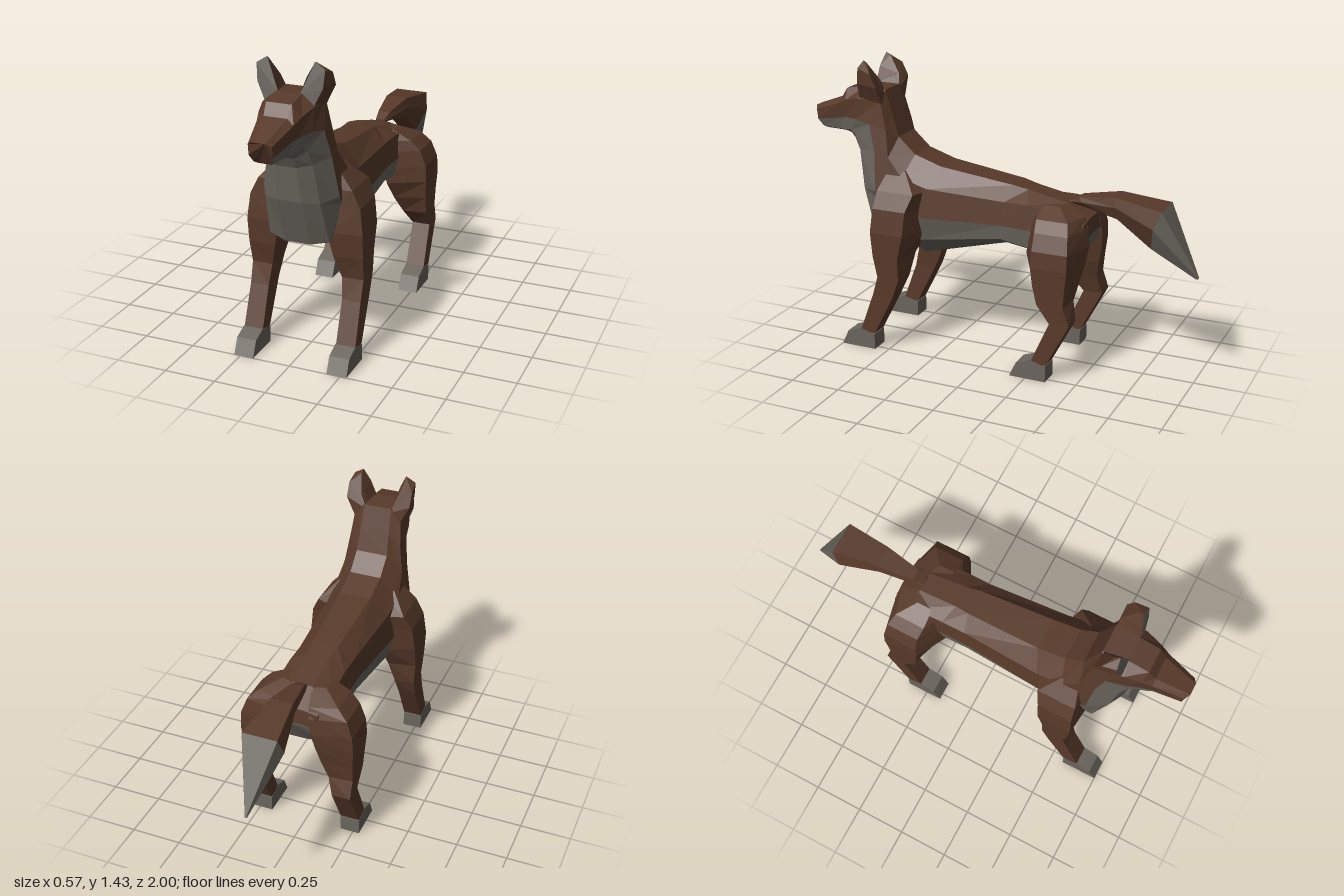
import * as THREE from 'three';

const brown = new THREE.MeshStandardMaterial({ color: 0x583a2a });
brown.name = 'brown fur';
const grey = new THREE.MeshStandardMaterial({ color: 0x6a655d });
grey.name = 'grey fur';
const BROWN = 0, GREY = 1;

// Faceted skin over a list of closed rings; colourOf(ring, edge) picks each face's colour.
function loft(name, rings, colourOf, startCap = BROWN, endCap = BROWN) {
  const faces = [[], []];
  const n = rings[0].length;
  const tri = (c, a, b, d) => faces[c].push([a, b, d]);
  for (let i = 0; i < rings.length - 1; i++) {
    for (let j = 0; j < n; j++) {
      const k = (j + 1) % n, c = colourOf(i, j);
      tri(c, rings[i][j], rings[i][k], rings[i + 1][k]);
      tri(c, rings[i][j], rings[i + 1][k], rings[i + 1][j]);
    }
  }
  const last = rings[rings.length - 1];
  for (let j = 1; j < n - 1; j++) {
    tri(startCap, rings[0][0], rings[0][j + 1], rings[0][j]);
    tri(endCap, last[0], last[j], last[j + 1]);
  }
  // turn the faces outward when the enclosed volume comes out negative
  const v = (p) => new THREE.Vector3(...p);
  let volume = 0;
  faces.flat().forEach(([a, b, c]) => { volume += v(a).dot(v(b).cross(v(c))); });
  const geometry = new THREE.BufferGeometry();
  const pos = [];
  faces.forEach((list, colour) => {
    const start = pos.length / 3;
    list.forEach(([a, b, c]) => pos.push(...a, ...(volume < 0 ? [...c, ...b] : [...b, ...c])));
    geometry.addGroup(start, pos.length / 3 - start, colour);
  });
  geometry.setAttribute('position', new THREE.Float32BufferAttribute(pos, 3));
  geometry.computeVertexNormals();
  const mesh = new THREE.Mesh(geometry, [brown, grey]);
  mesh.name = name;
  return mesh;
}

// Full ring from its left half
const mirrorRing = (half) => [...half, ...half.map(([x, y, z]) => [-x, y, z]).reverse()];

// Rump to nose; each half ring runs ridge, upper side, middle, lower side, underside
function body() {
  const rump = [
    [[.05, .69, -.488], [.1, .68, -.488], [.12, .65, -.478], [.1, .6, -.45], [.05, .56, -.42]],
    [[.05, .765, -.478], [.12, .75, -.475], [.15, .66, -.45], [.12, .6, -.42], [.06, .56, -.4]],
    [[.05, .828, -.37], [.14, .795, -.37], [.16, .68, -.36], [.14, .6, -.36], [.07, .56, -.34]],
    [[.055, .87, -.17], [.14, .82, -.2], [.155, .7, -.2], [.14, .61, -.2], [.06, .57, -.2]],
    [[.065, .885, -.1], [.14, .82, -.08], [.155, .705, -.06], [.145, .635, -.06], [.06, .59, -.06]],
  ];
  const chest = [
    [[.08, .935, .28], [.165, .84, .32], [.185, .695, .35], [.15, .57, .36], [.06, .475, .38]],
    [[.08, .98, .42], [.17, .88, .45], [.185, .75, .55], [.145, .59, .62], [.06, .57, .64]],
    [[.08, 1.06, .508], [.155, .97, .53], [.185, .8, .59], [.13, .79, .68], [.06, .8, .72]],
    [[.075, 1.16, .54], [.135, 1.1, .55], [.155, .99, .605], [.11, .98, .71], [.05, .97, .745]],
  ];
  const head = [
    [[.07, 1.285, .58], [.12, 1.24, .585], [.135, 1.12, .64], [.1, 1.05, .74], [.05, 1.02, .77]],
    [[.06, 1.29, .7], [.12, 1.24, .71], [.12, 1.135, .72], [.09, 1.07, .77], [.05, 1.045, .79]],
    [[.06, 1.272, .8], [.1, 1.22, .79], [.09, 1.13, .8], [.07, 1.06, .82], [.045, 1.05, .82]],
    [[.055, 1.22, .835], [.085, 1.195, .84], [.075, 1.12, .84], [.06, 1.06, .84], [.04, 1.05, .84]],
    [[.03, 1.16, 1], [.055, 1.145, .985], [.055, 1.095, .98], [.045, 1.06, .955], [.03, 1.05, .94]],
  ];
  const rings = [...rump, ...chest, ...head].map(mirrorRing);
  return loft('body and head', rings, (i, j) => (j >= 2 && j <= 6 ? GREY : BROWN), GREY, BROWN);
}

// Ear with a flat grey front face and a deep brown back
function ear(side) {
  const front = [[.05, 1.285, .7], [.08, 1.365, .692], [.112, 1.43, .672],
    [.16, 1.4, .68], [.153, 1.32, .69], [.115, 1.24, .7]];
  const back = [[.06, 1.26, .58], [.09, 1.33, .59], [.115, 1.415, .65],
    [.165, 1.375, .612], [.165, 1.31, .58], [.12, 1.22, .575]];
  const rings = [front, back].map((r) => r.map(([x, y, z]) => [side * x, y, z]));
  return loft('ear', rings, () => BROWN, GREY, BROWN);
}

// Leg levels: height, inner x, outer x, back z, front z, then how far the outer corners
// step in at the back and at the front
const frontLevels = [
  [.91, .08, .15, .42, .54, .02, .01], [.82, .09, .23, .31, .565, .05, .01],
  [.74, .1, .27, .325, .575, .06, .015], [.62, .12, .285, .335, .59, .06, .02],
  [.5, .145, .283, .395, .575, .03, .015], [.39, .175, .278, .415, .545, .01, .005],
  [.29, .185, .276, .46, .57, 0, 0], [.085, .185, .28, .565, .645, 0, 0],
];
const hindLevels = [
  [.825, .05, .11, -.37, -.24, .02, .03], [.78, .07, .2, -.465, -.2, .04, .07],
  [.73, .08, .25, -.485, -.19, .04, .09], [.65, .09, .28, -.495, -.18, .04, .1],
  [.57, .11, .285, -.485, -.185, .03, .09], [.48, .13, .28, -.465, -.235, .02, .05],
  [.39, .16, .278, -.447, -.29, .01, .015], [.3, .185, .276, -.468, -.37, 0, 0],
  [.085, .185, .28, -.355, -.275, 0, 0],
];

function leg(name, levels, side) {
  const group = new THREE.Group();
  group.name = name;
  const rings = levels.map(([y, xi, xo, zb, zf, cb, cf]) => [
    [xi, zb], [xo, zb + cb], [xo, zf - cf], [xi, zf],
  ].map(([x, z]) => [side * x, y, z]));
  group.add(loft('limb', rings, () => BROWN));
  // paw: side outline carried across its width, with a brown sole
  const heel = levels[levels.length - 1][3];
  const outline = [[0, 0], [.185, 0], [.15, .075], [.08, .1], [0, .08]];
  const paw = [.184, .281].map((x) => outline.map(([z, y]) => [side * x, y, heel + z]));
  group.add(loft('paw', paw, (i, j) => (j === 0 ? BROWN : GREY), GREY, GREY));
  return group;
}

// Tail swelling backwards to a grey pointed end
function tail() {
  const rings = [
    [[.02, .835, -.37], [.025, .83, -.37], [.015, .82, -.37]],
    [[.03, .86, -.42], [.04, .835, -.43], [.025, .81, -.45]],
    [[.055, .887, -.6], [.065, .84, -.605], [.045, .78, -.61]],
    [[.085, .855, -.835], [.1, .77, -.8], [.05, .66, -.78]],
    [[.003, .535, -1], [.004, .53, -1], [.003, .525, -.99]],
  ].map(mirrorRing);
  return loft('tail', rings, (i) => (i === 3 ? GREY : BROWN), BROWN, GREY);
}

export function createModel() {
  const model = new THREE.Group();
  model.name = 'fox';
  model.add(body(), tail());
  for (const [side, word] of [[1, 'left'], [-1, 'right']]) {
    model.add(ear(side));
    model.add(leg(word + ' front leg', frontLevels, side));
    model.add(leg(word + ' hind leg', hindLevels, side));
  }
  return model;
}
